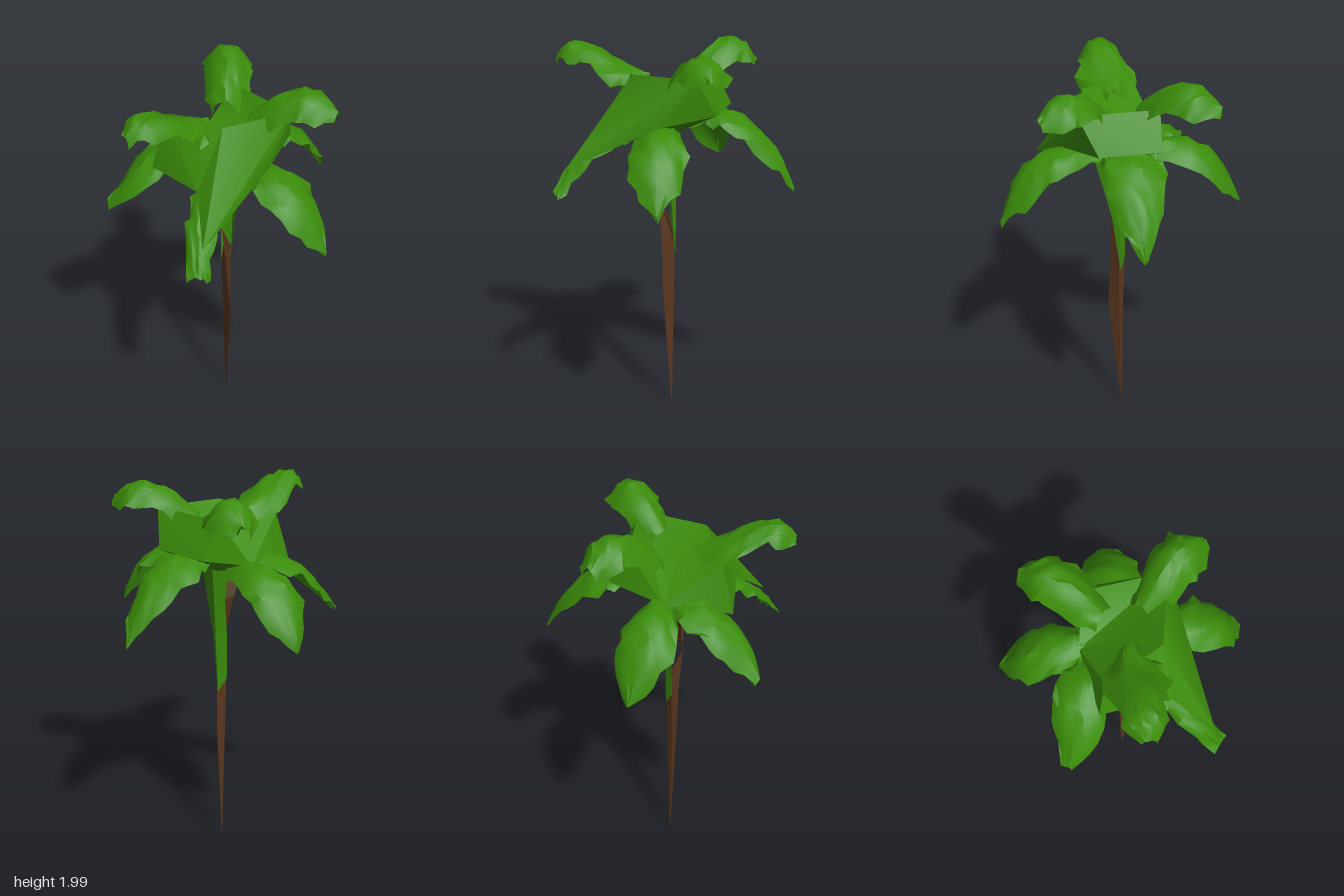
import * as THREE from 'three';
import { toCreasedNormals } from 'three/addons/utils/BufferGeometryUtils.js';

const mat = (name, color) => {
  const m = new THREE.MeshStandardMaterial({ color, side: THREE.DoubleSide });
  m.name = name;
  return m;
};

// Small seeded generator for the ragged leaf edges
function makeRandom(seed) {
  let s = seed * 7919;
  return () => (s = (s * 16807) % 2147483647) / 2147483647;
}

// Surface through rows of points
function gridGeometry(rows, crease = 0.7) {
  const cols = rows[0].length, index = [];
  for (let i = 0; i < rows.length - 1; i++) {
    for (let j = 0; j < cols - 1; j++) {
      const a = i * cols + j, b = a + cols;
      index.push(a, b, a + 1, a + 1, b, b + 1);
    }
  }
  const g = new THREE.BufferGeometry();
  g.setAttribute('position', new THREE.Float32BufferAttribute(rows.flat(2), 3));
  g.setIndex(index);
  return toCreasedNormals(g, crease);
}

// Crumpled, folded leaf along a path: half widths per path point, edges hang by droop
function frondGeometry(path, widths, droop, seed) {
  const rnd = makeRandom(seed);
  const curve = new THREE.CatmullRomCurve3(path.map(p => new THREE.Vector3(...p)));
  const N = 11, M = 8, rows = [];
  for (let i = 0; i <= N; i++) {
    const t = i / N, p = curve.getPoint(t), d = curve.getTangent(t);
    const side = new THREE.Vector3(-d.z, 0, d.x).normalize();
    const f = t * (widths.length - 1), k = Math.min(Math.floor(f), widths.length - 2);
    const w = THREE.MathUtils.lerp(widths[k], widths[k + 1], f - k);
    const row = [];
    for (let j = 0; j <= M; j++) {
      const s = (j / M) * 2 - 1, edge = Math.abs(s) === 1;
      const ragged = edge ? 0.84 + 0.28 * rnd() : 1;
      const bump = (rnd() - 0.6) * (edge ? 0.05 : 0.025);
      const y = p.y + bump - droop * s * s * Math.min(1, w / 0.1);
      row.push([p.x + side.x * s * w * ragged, Math.min(2, y), p.z + side.z * s * w * ragged]);
    }
    rows.push(row);
  }
  return gridGeometry(rows, 0.8);
}

export function createModel() {
  const group = new THREE.Group();
  const green = mat('leaf green', 0x3b8c0a);
  const brown = mat('bark brown', 0x5a371f);
  const pale = mat('pale bark', 0x665638);
  const add = (name, geometry, material) => {
    const m = new THREE.Mesh(geometry, material);
    m.name = name;
    group.add(m);
  };

  // Trunk: three-sided spike with a pointed front tip
  const trunkRows = [
    [[-0.02, 0.01, 0.02], [-0.015, 0.01, 0.022], [-0.02, 0.01, 0.018]],
    [[-0.03, 0.66, 0.03], [0.05, 0.66, 0.045], [0, 0.66, 0]],
    [[-0.038, 0.95, 0.03], [0.03, 1.0, 0.06], [0, 0.95, 0]],
    [[-0.015, 1.08, 0.03], [0.025, 1.2, 0.08], [0.015, 1.05, 0.01]],
  ];
  add('trunk', gridGeometry(trunkRows.map(r => [...r, r[0]]), 0.5), brown);

  // Split bark: folded fork opening upward from the trunk tip
  const tip = [0.015, 1.19, 0.075], mid = [0.005, 1.38, 0.025];
  const forkLeft = [0.07, 1.4, 0.08], forkRight = [-0.045, 1.4, 0.08];
  add('barkFork', gridGeometry([[tip, tip, tip], [forkRight, mid, forkLeft]]), brown);
  add('barkForkRight', gridGeometry([[forkRight, mid], [[-0.11, 1.6, 0.09], [-0.05, 1.6, 0.05]]]), pale);
  add('barkForkLeft', gridGeometry([[mid, forkLeft], [[0.05, 1.6, 0.05], [0.13, 1.6, 0.07]]]), pale);

  // Green sheath climbing the back of the trunk
  add('stemSheath', gridGeometry([
    [[-0.04, 0.95, 0.032], [-0.01, 0.88, -0.005], [0.0, 0.95, -0.002]],
    [[-0.042, 1.2, 0.03], [0, 1.2, -0.012], [0.035, 1.2, 0.005]],
    [[-0.042, 1.38, 0.015], [0.01, 1.38, -0.012], [0.08, 1.38, 0.01]],
    [[-0.06, 1.6, 0.02], [0, 1.62, -0.04], [0.14, 1.6, 0.02]],
  ]), green);

  // Crown: creased sheets spanning the leaf bases around a hollow
  const P = {
    K: [0.24, 1.87, -0.18], B: [-0.17, 1.86, -0.16],   // upper back shoulders
    Q: [0.15, 1.865, 0.17], c: [-0.14, 1.82, 0.29],    // upper front shoulders
    F: [0.15, 1.68, -0.26], f: [-0.16, 1.68, -0.26],   // back
    D: [0.28, 1.63, 0.0], E: [-0.22, 1.61, 0.02],      // sides
    G: [0.36, 1.41, 0.46], H: [-0.18, 1.57, 0.35],     // lower front
    T: [0.0, 1.74, 0.05], U: [0.01, 1.53, 0.02],       // hollow and underside
    W: [0.16, 1.58, 0.33],
  };
  const faces = ['KfB', 'KFf', 'KDF', 'BfE', 'KBE', 'KET', 'KTQ', 'QTc', 'cTE', 'KQG', 'KGD', 'QWG',
    'QcW', 'cHW', 'cEH', 'UFf', 'UDF', 'UfE', 'UEH', 'UHW', 'UWD', 'DWG'];
  const crown = new THREE.BufferGeometry();
  crown.setAttribute('position', new THREE.Float32BufferAttribute(
    faces.flatMap(s => [...s].flatMap(k => P[k])), 3));
  add('crown', toCreasedNormals(crown, 0.9), green);

  // Paired leaves on both sides
  for (const s of [1, -1]) {
    const name = s > 0 ? 'left' : 'right';
    const m = pts => pts.map(([x, y, z]) => [x * s, y, z]);
    add(name + 'SideFrond', frondGeometry(
      m([[0.1, 1.6, 0], [0.28, 1.64, -0.02], [0.43, 1.59, -0.04], [0.54, 1.46, -0.07], [0.62, 1.29, -0.09]]),
      [0.06, 0.12, 0.15, 0.11, 0.005], 0.08, 11 + s), green);
    add(name + 'UpperBackFrond', frondGeometry(
      m([[0.09, 1.84, -0.04], [0.17, 1.93, -0.11], [0.27, 2.0, -0.2], [0.35, 1.99, -0.25], [0.44, 1.91, -0.29]]),
      [0.07, 0.11, 0.12, 0.13, 0.04], 0.11, 37 + s), green);
  }

  // Leaves on the centre line
  add('backFrond', frondGeometry(
    [[0, 1.7, -0.2], [0, 1.68, -0.3], [0, 1.61, -0.42], [0, 1.48, -0.54], [0, 1.3, -0.63]],
    [0.15, 0.165, 0.14, 0.09, 0.005], 0.07, 71), green);
  add('upperFrontFrond', frondGeometry(
    [[0, 1.84, 0.13], [0, 1.89, 0.28], [0, 1.97, 0.43], [0, 1.99, 0.54], [0, 1.92, 0.62]],
    [0.04, 0.16, 0.13, 0.1, 0.04], 0.08, 93), green);

  // Lower front leaves
  add('lowerFrontRightFrond', frondGeometry(
    [[-0.14, 1.64, 0.1], [-0.23, 1.63, 0.2], [-0.29, 1.54, 0.36], [-0.375, 1.33, 0.5]],
    [0.06, 0.14, 0.13, 0.03], 0.06, 121), green);
  add('lowerFrontLeftFrond', frondGeometry(
    [[0.1, 1.6, 0.16], [0.19, 1.56, 0.29], [0.29, 1.46, 0.42], [0.39, 1.29, 0.51]],
    [0.06, 0.1, 0.07, 0.05], 0.05, 151), green);

  return group;
}
